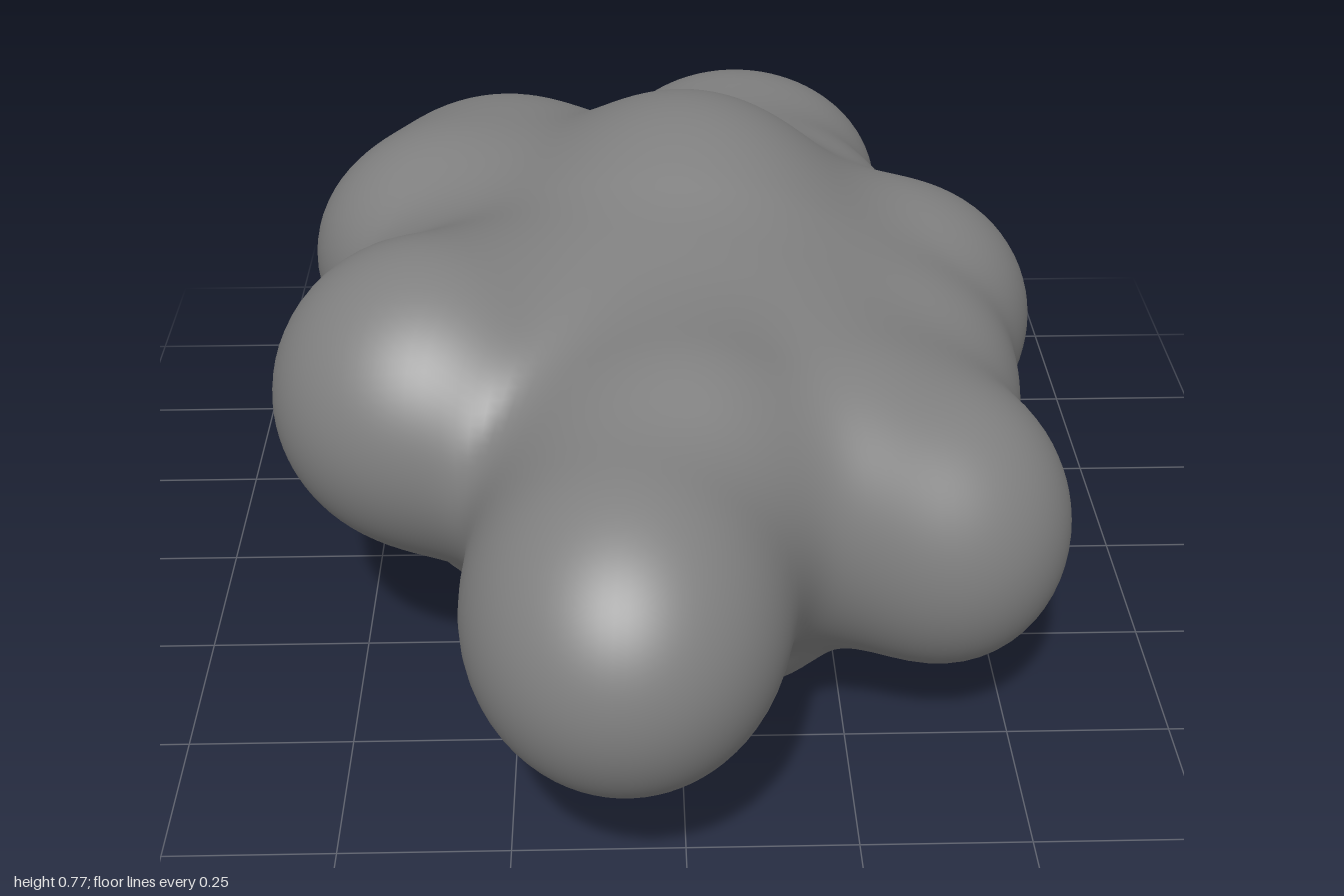
import * as THREE from 'three';
import { mergeVertices } from 'three/addons/utils/BufferGeometryUtils.js';

const CENTRE = new THREE.Vector3(0, 0.39, 0);
const BLEND = 0.045;

// Lobes of the lump: tip centre x, y, z and radii x, y, z.
// Each one is swept from near the middle out to its tip.
const LOBES = [
  [0.00, 0.38, 0.00, 0.47, 0.21, 0.54],    // core
  [0.135, 0.362, -0.72, 0.262, 0.20, 0.28], // back
  [-0.085, 0.403, 0.735, 0.225, 0.235, 0.265], // front
  [-0.29, 0.43, -0.42, 0.25, 0.21, 0.28],  // back right
  [-0.38, 0.45, -0.26, 0.22, 0.20, 0.20],  // right flank
  [-0.34, 0.42, 0.02, 0.18, 0.18, 0.20],   // right waist
  [-0.37, 0.50, 0.30, 0.235, 0.23, 0.24],  // front right
  [0.38, 0.38, -0.16, 0.22, 0.21, 0.23],   // back left
  [0.22, 0.36, -0.44, 0.18, 0.18, 0.17],   // back left shoulder
  [0.35, 0.38, 0.13, 0.18, 0.19, 0.18],    // left waist
  [0.39, 0.34, 0.43, 0.185, 0.21, 0.20],   // front left
  [0.23, 0.41, 0.42, 0.18, 0.20, 0.19],    // front left shoulder
  [0.02, 0.48, -0.12, 0.27, 0.285, 0.34],  // top
  [0.01, 0.46, 0.50, 0.18, 0.205, 0.18],   // top front
  [-0.22, 0.26, 0.15, 0.19, 0.185, 0.20],  // underside right
  [0.09, 0.20, 0.32, 0.17, 0.20, 0.18],    // underside front
  [0.09, 0.23, -0.28, 0.18, 0.19, 0.19],   // underside back
].map(([x, y, z, ...radii]) => {
  const tip = new THREE.Vector3(x, y, z);
  const root = CENTRE.clone().lerp(tip, 0.35);
  return { line: new THREE.Line3(root, tip), radii: new THREE.Vector3(...radii) };
});

// Approximate distance to an ellipsoid swept along a line
const near = new THREE.Vector3();
function lobeDistance(p, { line, radii }) {
  line.closestPointToPoint(p, true, near);
  near.subVectors(p, near).divide(radii);
  const a = near.length();
  const b = near.divide(radii).length();
  return b < 1e-6 ? -Math.min(radii.x, radii.y, radii.z) : a * (a - 1) / b;
}

// Smoothly blended union of all lobes
function field(p) {
  let sum = 0;
  for (const lobe of LOBES) sum += Math.exp(-lobeDistance(p, lobe) / BLEND);
  return -BLEND * Math.log(sum + 1e-300);
}

// Walk inward along a ray from the centre until the skin is met
function skinPoint(dir) {
  const p = new THREE.Vector3();
  const at = t => field(p.copy(CENTRE).addScaledVector(dir, t));
  const step = 0.02;
  let t = 1.3;
  while (t > step && at(t) > 0) t -= step;
  let lo = t, hi = t + step;
  for (let i = 0; i < 12; i++) {
    const mid = (lo + hi) / 2;
    if (at(mid) > 0) hi = mid; else lo = mid;
  }
  return p.copy(CENTRE).addScaledVector(dir, lo);
}

function lumpGeometry() {
  let geo = new THREE.IcosahedronGeometry(1, 36);
  geo.deleteAttribute('uv');
  geo.deleteAttribute('normal');
  geo = mergeVertices(geo, 1e-5);
  const pos = geo.attributes.position;
  const dir = new THREE.Vector3();
  for (let i = 0; i < pos.count; i++) {
    dir.fromBufferAttribute(pos, i);
    dir.set(dir.x * 0.6, dir.y * 0.42, dir.z).normalize();
    const p = skinPoint(dir);
    pos.setXYZ(i, p.x, p.y, p.z);
  }
  // Centre it and stand it on the ground
  geo.computeBoundingBox();
  const mid = geo.boundingBox.getCenter(new THREE.Vector3());
  geo.translate(-mid.x, -geo.boundingBox.min.y, -mid.z);
  geo.computeVertexNormals();
  return geo;
}

export function createModel() {
  const group = new THREE.Group();
  const lump = new THREE.Mesh(
    lumpGeometry(),
    new THREE.MeshStandardMaterial({ color: 0x808080 })
  );
  lump.name = 'lumpyBody';
  group.add(lump);
  return group;
}
